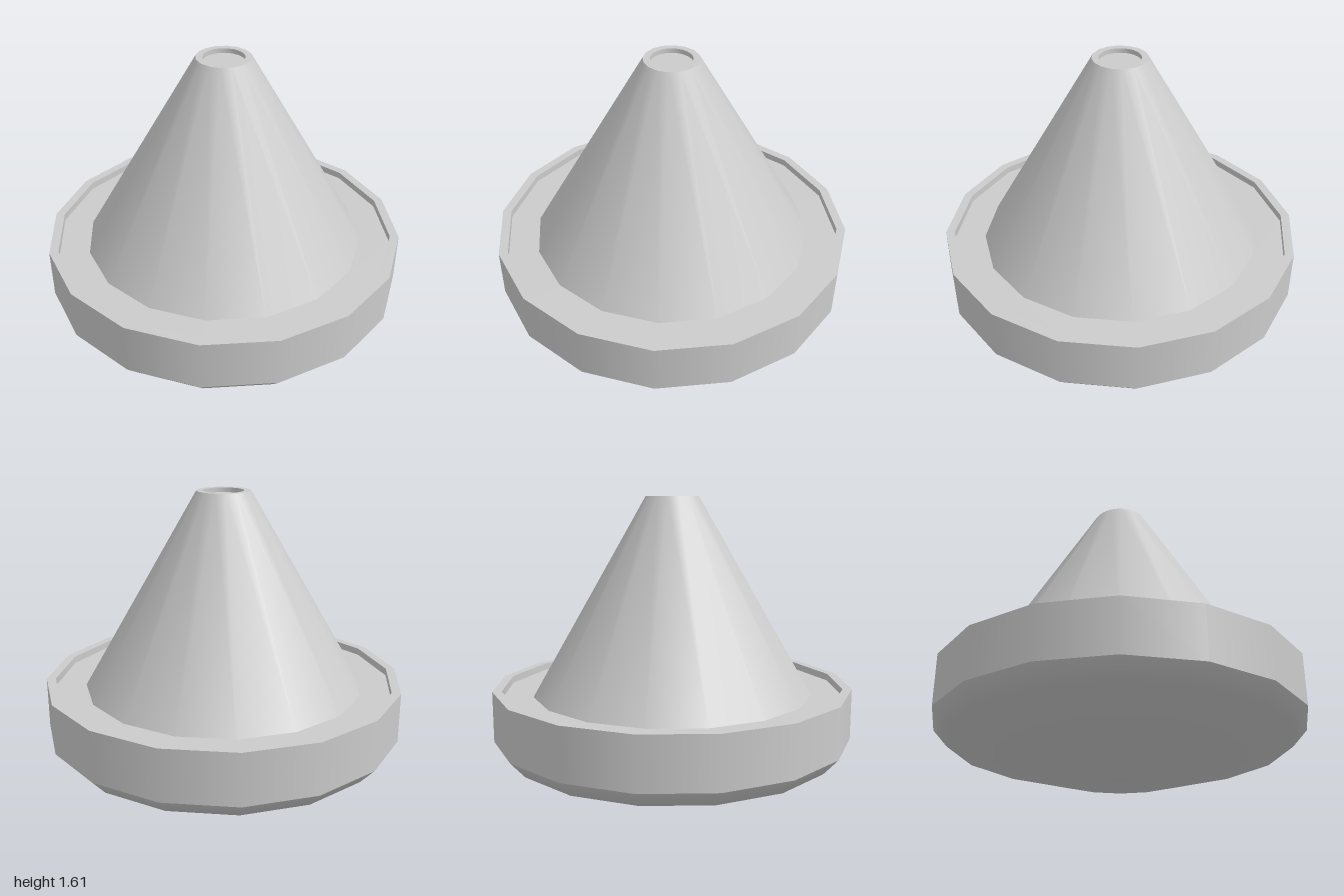
import * as THREE from 'three';

const SIDES = 16;
const material = new THREE.MeshStandardMaterial({ color: 0xcccccc });

// Revolves a profile of [radius, height] pairs listed from the bottom outwards and up.
function turned(name, profile, sides = SIDES) {
  const points = profile.map(([r, y]) => new THREE.Vector2(r, y));
  const mesh = new THREE.Mesh(new THREE.LatheGeometry(points, sides), material);
  mesh.name = name;
  return mesh;
}

export function createModel() {
  const group = new THREE.Group();
  group.name = 'cone';

  // Shallow rounded underside and the faceted drum around it
  group.add(turned('underside', [[0, 0], [0.39, 0.035], [0.92, 0.19], [1, 0.28]]));
  group.add(turned('drumWall', [[1, 0.28], [1, 0.56]]));

  // Thin raised rim and the sunken deck inside it
  group.add(turned('rimTop', [[1, 0.56], [0.95, 0.56]]));
  group.add(turned('rimInnerWall', [[0.95, 0.56], [0.95, 0.52]]));
  group.add(turned('deck', [[0.95, 0.52], [0.78, 0.52]]));

  // Tapered body
  group.add(turned('coneBody', [[0.78, 0.52], [0.147, 1.605]]));

  // Flat tip: a 16-sided plate with a round hole
  const plate = new THREE.Shape();
  for (let i = 0; i < SIDES; i++) {
    const a = (i / SIDES) * Math.PI * 2;
    plate[i ? 'lineTo' : 'moveTo'](0.147 * Math.cos(a), 0.147 * Math.sin(a));
  }
  plate.closePath();
  plate.holes.push(new THREE.Path().absarc(0, 0, 0.11, 0, Math.PI * 2, true));
  const tip = new THREE.Mesh(new THREE.ShapeGeometry(plate, 16), material);
  tip.name = 'tipPlate';
  tip.rotation.x = -Math.PI / 2;
  tip.position.y = 1.605;
  group.add(tip);

  // Shallow round recess in the tip
  group.add(turned('recessWall', [[0.11, 1.605], [0.11, 1.58]], 32));
  group.add(turned('recessFloor', [[0.11, 1.58], [0, 1.58]], 32));

  return group;
}
